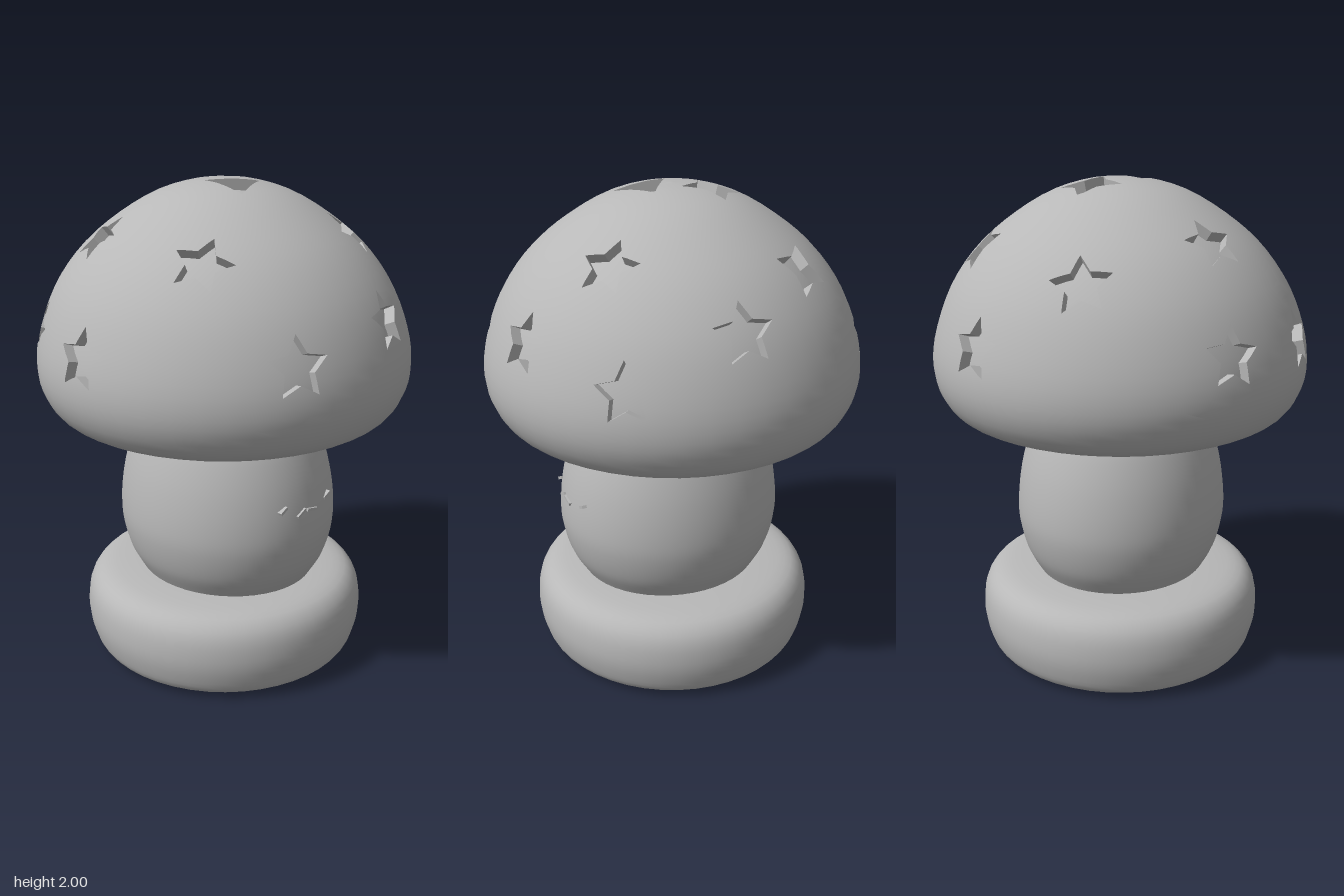
import * as THREE from 'three';

const V = (x, y, z) => new THREE.Vector3(x, y, z);
const CENTRE = V(0, 1.2, 0); // point the star recesses aim at
const FLOOR = 0.945;         // recess floor, as a share of the distance to CENTRE

// Smooth turned body from a few [radius, y] points, bottom to top
function turned(profile, samples = 40, sides = 48) {
  const curve = new THREE.CatmullRomCurve3(profile.map(([r, y]) => V(r, y, 0)), false, 'centripetal');
  const pts = curve.getPoints(samples).map((p) => new THREE.Vector2(Math.max(0, p.x), p.y));
  return new THREE.LatheGeometry(pts, sides);
}

// Star at a position: list of wedges, each bounded by three planes through CENTRE
function makeStar([x, y, z, points = 5, twist = 0, radius = 0.122]) {
  const c = V(x, y, z).sub(CENTRE);
  const n = c.clone().normalize();
  const up = V(0, 1, 0).addScaledVector(n, -n.y).normalize();
  const side = up.clone().cross(n);
  const rim = [];
  for (let i = 0; i < points * 2; i++) {
    const a = Math.PI / 2 + twist + (i * Math.PI) / points;
    const r = i % 2 ? radius * 0.5 : radius;
    rim.push(c.clone().addScaledVector(side, Math.cos(a) * r).addScaledVector(up, Math.sin(a) * r));
  }
  const wedges = rim.map((a, i) => {
    const b = rim[(i + 1) % rim.length];
    return [c.clone().cross(a), b.clone().cross(c), a.clone().cross(b)].map((p) => p.normalize());
  });
  return { at: c.clone().add(CENTRE), wedges };
}

const height = (v, plane) => v.p.clone().sub(CENTRE).dot(plane);

// Split a polygon by a plane into its inside and outside pieces
function split(poly, plane) {
  const inside = [], outside = [];
  poly.forEach((a, i) => {
    const b = poly[(i + 1) % poly.length];
    const da = height(a, plane), db = height(b, plane);
    if (da >= -1e-9) inside.push(a);
    if (da <= 1e-9) outside.push(a);
    if ((da > 1e-9 && db < -1e-9) || (da < -1e-9 && db > 1e-9)) {
      const t = da / (da - db);
      const m = { p: a.p.clone().lerp(b.p, t), n: a.n.clone().lerp(b.n, t).normalize() };
      inside.push(m);
      outside.push(m);
    }
  });
  return [inside, outside];
}

// Growing triangle list
function collector() {
  const pos = [], nor = [];
  return {
    add(poly) {
      for (let i = 1; i + 1 < poly.length; i++) {
        for (const v of [poly[0], poly[i], poly[i + 1]]) {
          pos.push(v.p.x, v.p.y, v.p.z);
          nor.push(v.n.x, v.n.y, v.n.z);
        }
      }
    },
    geometry() {
      const g = new THREE.BufferGeometry();
      g.setAttribute('position', new THREE.Float32BufferAttribute(pos, 3));
      g.setAttribute('normal', new THREE.Float32BufferAttribute(nor, 3));
      return g;
    },
  };
}

// Cut stars out of a surface; returns the skin and the sunken stars
function carve(geometry, stars) {
  const g = geometry.toNonIndexed();
  const P = g.attributes.position, N = g.attributes.normal;
  const skin = collector(), recess = collector();
  const sink = (p) => p.clone().sub(CENTRE).multiplyScalar(FLOOR).add(CENTRE);
  for (let i = 0; i < P.count; i += 3) {
    const tri = [0, 1, 2].map((k) => ({
      p: new THREE.Vector3().fromBufferAttribute(P, i + k),
      n: new THREE.Vector3().fromBufferAttribute(N, i + k),
    }));
    const mid = tri[0].p.clone().add(tri[1].p).add(tri[2].p).divideScalar(3);
    let pieces = [tri];
    for (const star of stars) {
      if (mid.distanceTo(star.at) > 0.26) continue;
      for (const planes of star.wedges) {
        const next = [];
        for (let rest of pieces) {
          for (const plane of planes) {
            const [inside, outside] = split(rest, plane);
            if (outside.length > 2) next.push(outside);
            rest = inside;
            if (rest.length < 3) break;
          }
          if (rest.length < 3) continue;
          // floor
          recess.add(rest.map((v) => ({ p: sink(v.p), n: v.n })));
          // walls along the star outline
          rest.forEach((a, k) => {
            const b = rest[(k + 1) % rest.length];
            if (Math.abs(height(a, planes[2])) > 1e-7 || Math.abs(height(b, planes[2])) > 1e-7) return;
            const n = planes[2];
            recess.add([a.p, b.p, sink(b.p), sink(a.p)].map((p) => ({ p, n })));
          });
        }
        pieces = next;
      }
    }
    pieces.forEach((piece) => skin.add(piece));
  }
  return [skin.geometry(), recess.geometry()];
}

export function createModel() {
  const group = new THREE.Group();
  const grey = new THREE.MeshStandardMaterial({ color: 0xb8b8b8 });
  const add = (name, geometry) => {
    const mesh = new THREE.Mesh(geometry, grey);
    mesh.name = name;
    group.add(mesh);
    return mesh;
  };

  // Foot disc
  add('base', turned([[0, 0], [0.3, 0.005], [0.5, 0.01], [0.555, 0.03], [0.585, 0.1], [0.597, 0.19],
    [0.58, 0.29], [0.53, 0.345], [0.4, 0.368], [0.2, 0.37], [0, 0.37]]));

  // Bulging stem, a little wider than deep
  const stem = add('stem', turned([[0.34, 0.3], [0.385, 0.37], [0.435, 0.46], [0.466, 0.58], [0.468, 0.68],
    [0.448, 0.82], [0.41, 0.95], [0.37, 1.04]]));
  stem.scale.z = 0.93;
  stem.position.x = 0.017;

  // Faint relief face on the left side of the stem
  for (const [name, y, z, w, tilt] of [['leftEye', 0.765, 0.135, 0.04, 0.5], ['rightEye', 0.755, -0.125, 0.04, 0.5],
    ['mouthFront', 0.735, 0.05, 0.05, 0.5], ['mouthBack', 0.735, -0.01, 0.06, -0.2]]) {
    const bit = add(name, new THREE.BoxGeometry(0.03, 0.012, w));
    bit.position.set(0.017 + 0.455 * Math.sqrt(1 - (z / 0.43) ** 2), y, z);
    bit.rotation.x = tilt;
  }

  // Domed cap with sunken stars: x, y, z, points, twist, radius
  const stars = [
    [-0.01, 1.41, 0.73], [-0.44, 1.43, 0.6, 5, -0.1], [0.67, 1.43, 0.31],
    [-0.23, 1.8, 0.45], [0.32, 1.77, 0.44, 5, -0.26], [-0.6, 1.68, 0.08, 5, 0.17],
    [-0.66, 1.43, -0.32], [0.69, 1.52, -0.18], [0.46, 1.43, -0.59, 5, 0.1],
    [0.4, 1.81, -0.31], [0.03, 1.61, -0.66], [-0.31, 1.74, -0.46, 4, 0.85, 0.125],
    [-0.135, 1.975, -0.07, 4, 0.45, 0.13], [0.1, 1.985, 0.04, 3, -1.27, 0.125],
  ].map(makeStar);
  const cap = turned([[0, 1.015], [0.36, 1.02], [0.52, 1.04], [0.63, 1.06], [0.7, 1.105], [0.75, 1.2],
    [0.76, 1.31], [0.73, 1.45], [0.665, 1.6], [0.56, 1.74], [0.43, 1.85], [0.27, 1.945], [0.12, 1.99], [0, 2]]);
  const [skin, recess] = carve(cap, stars);
  add('cap', skin);
  add('starRecesses', recess);
  return group;
}
